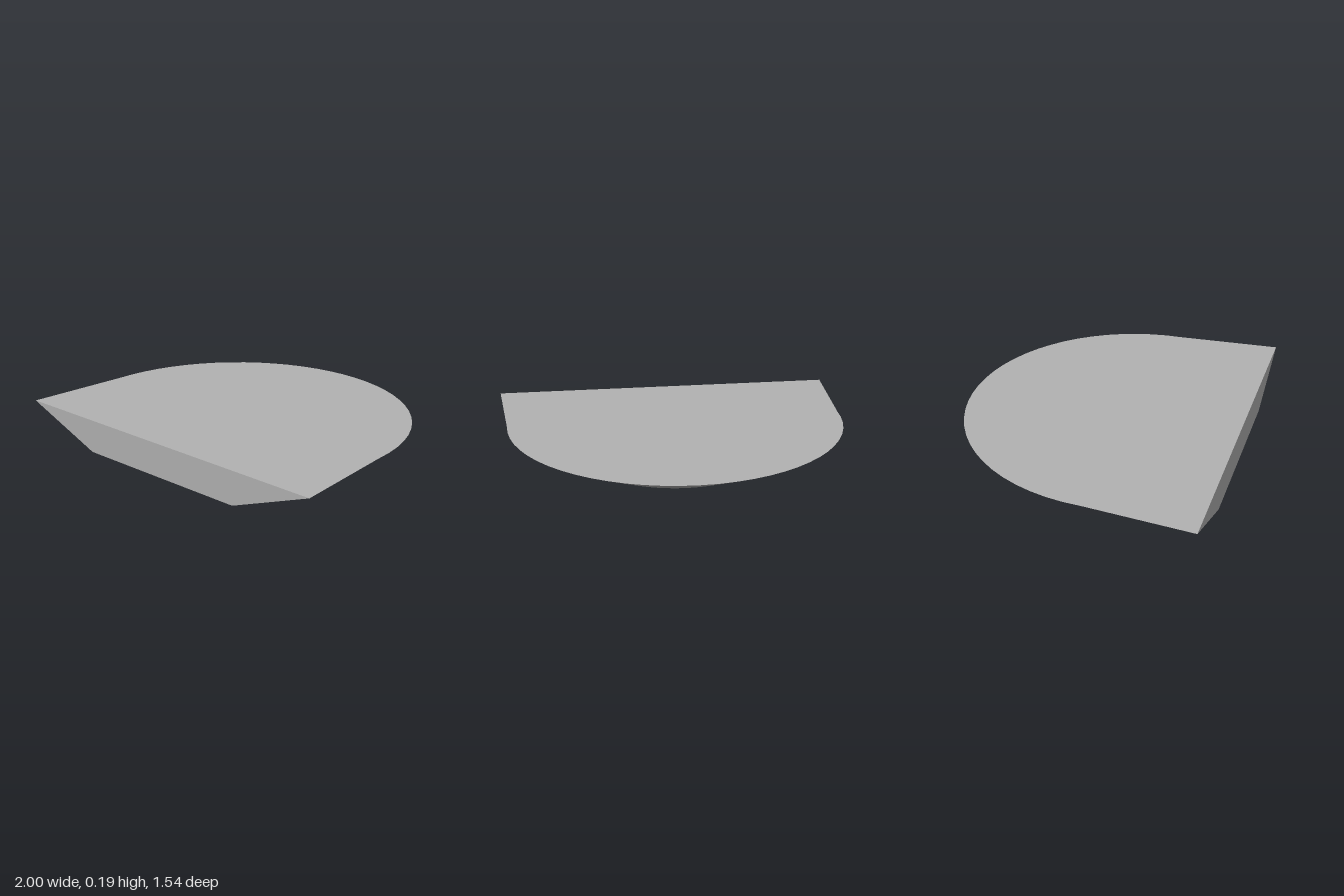
import * as THREE from 'three';

const STEPS = 32; // segments of the rounded back

// Outline from the left front corner, round the back, to the right front corner
function outline(cornerX, rx, rz, y, cornerY) {
  const pts = [new THREE.Vector3(cornerX, cornerY, 0.77)];
  for (let i = 0; i <= STEPS; i++) {
    const a = (i / STEPS) * Math.PI;
    pts.push(new THREE.Vector3(rx * Math.cos(a), y, 0.18 - rz * Math.sin(a)));
  }
  pts.push(new THREE.Vector3(-cornerX, cornerY, 0.77));
  return pts;
}

function meshFrom(name, triangles, material) {
  const geometry = new THREE.BufferGeometry().setFromPoints(triangles);
  geometry.computeVertexNormals();
  const mesh = new THREE.Mesh(geometry, material);
  mesh.name = name;
  return mesh;
}

export function createModel() {
  const grey = new THREE.MeshStandardMaterial({ color: 0xb3b3b3 });
  grey.name = 'plain grey';

  const top = outline(1, 0.955, 0.95, 0.19, 0.19);
  const base = outline(0.52, 0.565, 0.55, 0, 0.005);
  const n = top.length;
  const topCentre = new THREE.Vector3(0, 0.19, 0.18);
  const baseCentre = new THREE.Vector3(0, 0, 0.18);

  const deck = [], underside = [], wall = [], front = [];
  for (let i = 0; i < n; i++) {
    const j = (i + 1) % n;
    deck.push(topCentre, top[i], top[j]);
    underside.push(baseCentre, base[j], base[i]);
    const side = j === 0 ? front : wall;
    // Mirror the diagonals about the centre line
    if (i < n / 2) side.push(base[i], base[j], top[i], base[j], top[j], top[i]);
    else side.push(base[i], base[j], top[j], base[i], top[j], top[i]);
  }

  const group = new THREE.Group();
  group.name = 'taperedSlab';
  group.add(
    meshFrom('topFace', deck, grey),
    meshFrom('underside', underside, grey),
    meshFrom('slopedWall', wall, grey),
    meshFrom('frontFace', front, grey)
  );
  return group;
}
